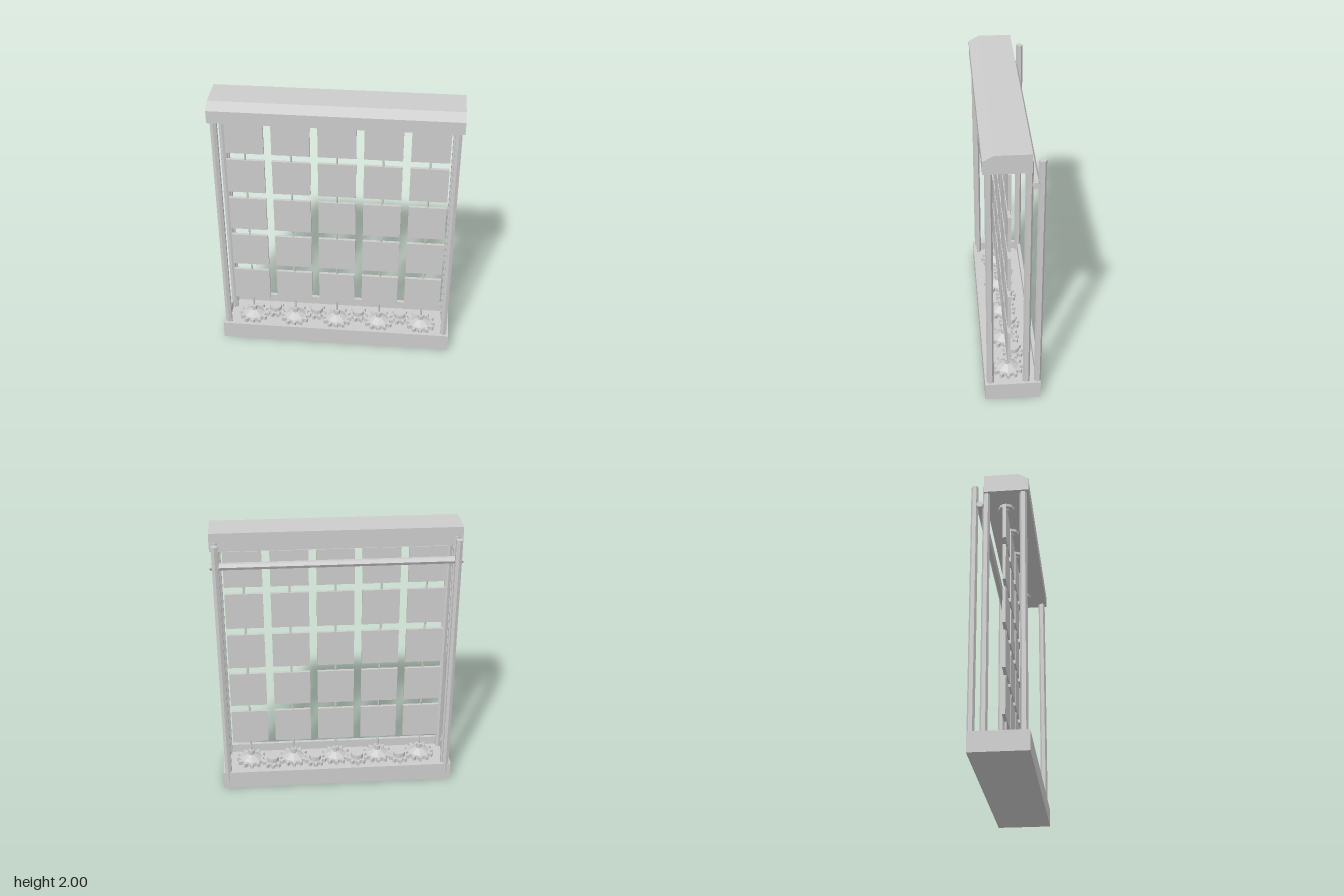
import * as THREE from 'three';

const material = new THREE.MeshStandardMaterial({ color: 0xcccccc, flatShading: true });

function add(parent, name, geometry, x = 0, y = 0, z = 0) {
  const mesh = new THREE.Mesh(geometry, material);
  mesh.name = name;
  mesh.position.set(x, y, z);
  parent.add(mesh);
  return mesh;
}

// Cylinder or cone standing between two heights
function column(parent, name, rTop, rBottom, y0, y1, sides, x, z) {
  return add(parent, name, new THREE.CylinderGeometry(rTop, rBottom, y1 - y0, sides), x, (y0 + y1) / 2, z);
}

// Flat toothed wheel lying in the xz plane
function gearGeometry(root, tip, teeth, height) {
  const points = [];
  const step = (Math.PI * 2) / teeth;
  for (let i = 0; i < teeth; i++) {
    for (const [f, r] of [[-0.3, root], [-0.16, tip], [0.16, tip], [0.3, root]]) {
      const a = (i + f) * step;
      points.push(new THREE.Vector2(Math.cos(a) * r, Math.sin(a) * r));
    }
  }
  const geometry = new THREE.ExtrudeGeometry(new THREE.Shape(points), { depth: height, bevelEnabled: false });
  return geometry.rotateX(-Math.PI / 2);
}

export function createModel() {
  const model = new THREE.Group();
  model.name = 'panelRack';

  // Open base tray
  const base = new THREE.Group();
  base.name = 'baseTray';
  model.add(base);
  const wall = 0.025;
  add(base, 'trayFloor', new THREE.BoxGeometry(1.7, 0.07, 0.39), 0, 0.035, 0.005);
  for (const z of [0.2 - wall / 2, -0.19 + wall / 2]) {
    add(base, 'trayLongWall', new THREE.BoxGeometry(1.7, 0.135, wall), 0, 0.0675, z);
  }
  for (const s of [-1, 1]) {
    add(base, 'trayEndWall', new THREE.BoxGeometry(wall, 0.135, 0.39), s * (0.85 - wall / 2), 0.0675, 0.005);
  }

  // Header beam with a chamfered front edge, extruded along x
  const profile = new THREE.Shape([
    [-0.2, 1.87], [0.105, 1.87], [0.105, 2], [-0.13, 2], [-0.2, 1.96],
  ].map(([x, y]) => new THREE.Vector2(x, y)));
  const header = new THREE.ExtrudeGeometry(profile, { depth: 1.7, bevelEnabled: false });
  header.rotateY(Math.PI / 2);
  add(model, 'headerBeam', header, -0.85);

  // Hexagonal posts: front, inner rear and outer rear on each side
  for (const s of [-1, 1]) {
    for (const [name, z] of [['frontPost', 0.162], ['innerRearPost', -0.09], ['outerRearPost', -0.17]]) {
      column(model, name, 0.025, 0.025, 0.065, 1.935, 6, s * 0.812, z);
    }
  }

  // Rear cross bar between the paired posts
  const bar = new THREE.CylinderGeometry(0.025, 0.025, 1.7, 6);
  bar.rotateZ(Math.PI / 2);
  add(model, 'rearCrossBar', bar, 0, 1.775, -0.131);

  // Five spindles, each with a drive gear, a top bearing and five panels
  const z = 0.028;
  const driveGear = gearGeometry(0.088, 0.112, 12, 0.03);
  const panel = new THREE.BoxGeometry(0.266, 0.266, 0.022);
  for (let i = -2; i <= 2; i++) {
    const x = i * 0.32;
    const spindle = new THREE.Group();
    spindle.name = 'spindle';
    spindle.position.set(x, 0, z);
    model.add(spindle);
    column(spindle, 'rod', 0.007, 0.007, 0.07, 1.87, 8, 0, 0);
    add(spindle, 'driveGear', driveGear, 0, 0.09, 0);
    column(spindle, 'gearCone', 0.028, 0.08, 0.12, 0.15, 8, 0, 0);
    column(spindle, 'gearHub', 0.022, 0.022, 0.15, 0.185, 8, 0, 0);
    column(spindle, 'topBearing', 0.056, 0.056, 1.85, 1.87, 8, 0, 0);
    column(spindle, 'topBearingCollar', 0.022, 0.022, 1.842, 1.85, 8, 0, 0);
    for (let j = 0; j < 5; j++) add(spindle, 'panel', panel, 0, 0.402 + j * 0.32, 0);
  }

  // Idler gears linking neighbouring spindles
  const idlerGear = gearGeometry(0.058, 0.078, 9, 0.03);
  for (const x of [-0.48, -0.16, 0.16, 0.48]) {
    const idler = new THREE.Group();
    idler.name = 'idler';
    idler.position.set(x, 0, -0.024);
    model.add(idler);
    add(idler, 'idlerGear', idlerGear, 0, 0.09, 0).rotation.y = 0.2;
    column(idler, 'idlerAxle', 0.02, 0.02, 0.07, 0.09, 8, 0, 0);
    column(idler, 'idlerHub', 0.047, 0.047, 0.12, 0.155, 10, 0, 0);
  }

  return model;
}
